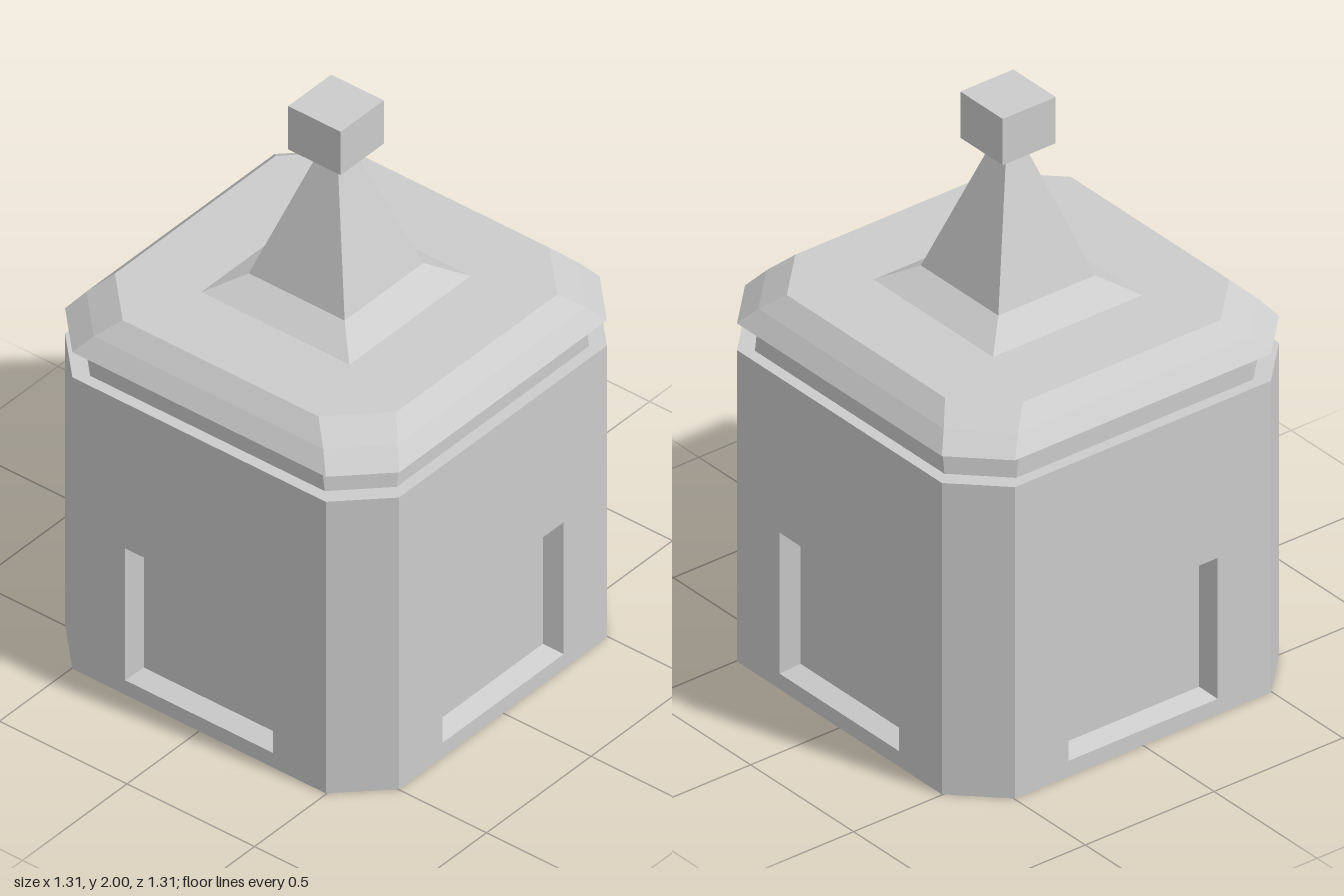
import * as THREE from 'three';

const material = new THREE.MeshStandardMaterial({ color: 0xcccccc, flatShading: true });

// Skins a stack of equal-length rings; can close the first and last ring with fans.
function loft(rings, capStart = false, capEnd = false) {
  const n = rings[0].length;
  const pos = [];
  const tri = (...pts) => pts.forEach((p) => pos.push(...p));
  for (let r = 0; r < rings.length - 1; r++) {
    const a = rings[r], b = rings[r + 1];
    for (let i = 0; i < n; i++) {
      const j = (i + 1) % n;
      tri(a[i], a[j], b[j]);
      tri(a[i], b[j], b[i]);
    }
  }
  const first = rings[0], last = rings[rings.length - 1];
  for (let i = 1; i < n - 1; i++) {
    if (capStart) tri(first[0], first[i + 1], first[i]);
    if (capEnd) tri(last[0], last[i], last[i + 1]);
  }
  const geo = new THREE.BufferGeometry();
  geo.setAttribute('position', new THREE.Float32BufferAttribute(pos, 3));
  geo.computeVertexNormals();
  return geo;
}

// Square with cut corners: half width h, flat sides ending at c, height y.
const octagon = (h, c, y) => [
  [h, y, c], [h, y, -c], [c, y, -h], [-c, y, -h],
  [-h, y, -c], [-h, y, c], [-c, y, h], [c, y, h],
];
const square = (h, y) => [[h, y, h], [h, y, -h], [-h, y, -h], [-h, y, h]];
// Upright rectangle facing +z.
const rect = (w, y0, y1, z) => [[-w, y0, z], [w, y0, z], [w, y1, z], [-w, y1, z]];

function add(parent, name, geo) {
  const mesh = new THREE.Mesh(geo, material);
  mesh.name = name;
  parent.add(mesh);
  return mesh;
}

const HALF = 0.655, CORNER = 0.497, WALL_TOP = 1.105;

// One wall with its recessed panel and the cut corner beside it.
function makeSide() {
  const side = new THREE.Group();
  side.name = 'side';

  const outline = new THREE.Shape([
    new THREE.Vector2(-CORNER, 0), new THREE.Vector2(CORNER, 0),
    new THREE.Vector2(CORNER, WALL_TOP), new THREE.Vector2(-CORNER, WALL_TOP),
  ]);
  const opening = rect(0.29, 0.055, 0.555, HALF);
  outline.holes.push(new THREE.Path(opening.map(([x, y]) => new THREE.Vector2(x, y)).reverse()));
  add(side, 'wall', new THREE.ShapeGeometry(outline)).position.z = HALF;

  add(side, 'recessedPanel', loft([opening, rect(0.27, 0.075, 0.535, HALF - 0.065)], false, true));

  const width = (HALF - CORNER) * Math.SQRT2;
  const mid = (HALF + CORNER) / 2;
  const corner = add(side, 'cornerPanel', new THREE.PlaneGeometry(width, WALL_TOP));
  corner.position.set(mid, WALL_TOP / 2, mid);
  corner.rotation.y = Math.PI / 4;
  return side;
}

export function createModel() {
  const model = new THREE.Group();
  model.name = 'chamferedTower';

  // Body: four identical sides and a flat base
  const body = new THREE.Group();
  body.name = 'body';
  for (let i = 0; i < 4; i++) {
    const side = makeSide();
    side.rotation.y = (i * Math.PI) / 2;
    body.add(side);
  }
  const floor = octagon(HALF, CORNER, 0).map(([x, , z]) => new THREE.Vector2(x, -z));
  add(body, 'base', new THREE.ShapeGeometry(new THREE.Shape(floor))).rotation.x = -Math.PI / 2;
  body.getObjectByName('base').geometry.rotateX(Math.PI);
  model.add(body);

  // Ledge and narrow neck under the roof
  add(model, 'neck', loft([
    octagon(HALF, CORNER, WALL_TOP),
    octagon(0.615, 0.46, WALL_TOP),
    octagon(0.615, 0.447, 1.2),
  ]));

  // Overhanging roof with a bevelled rim
  add(model, 'roof', loft([
    octagon(0.615, 0.447, 1.2),
    octagon(HALF, CORNER, 1.2),
    octagon(0.61, 0.45, 1.257),
    octagon(0.552, 0.384, 1.315),
  ], false, true));

  // Spire rising from a shallow skirt
  add(model, 'spire', loft([square(0.29, 1.315), square(0.188, 1.375), square(0.03, 1.84)]));

  // Block finial
  add(model, 'finial', new THREE.BoxGeometry(0.206, 0.164, 0.206)).position.y = 1.918;

  return model;
}
